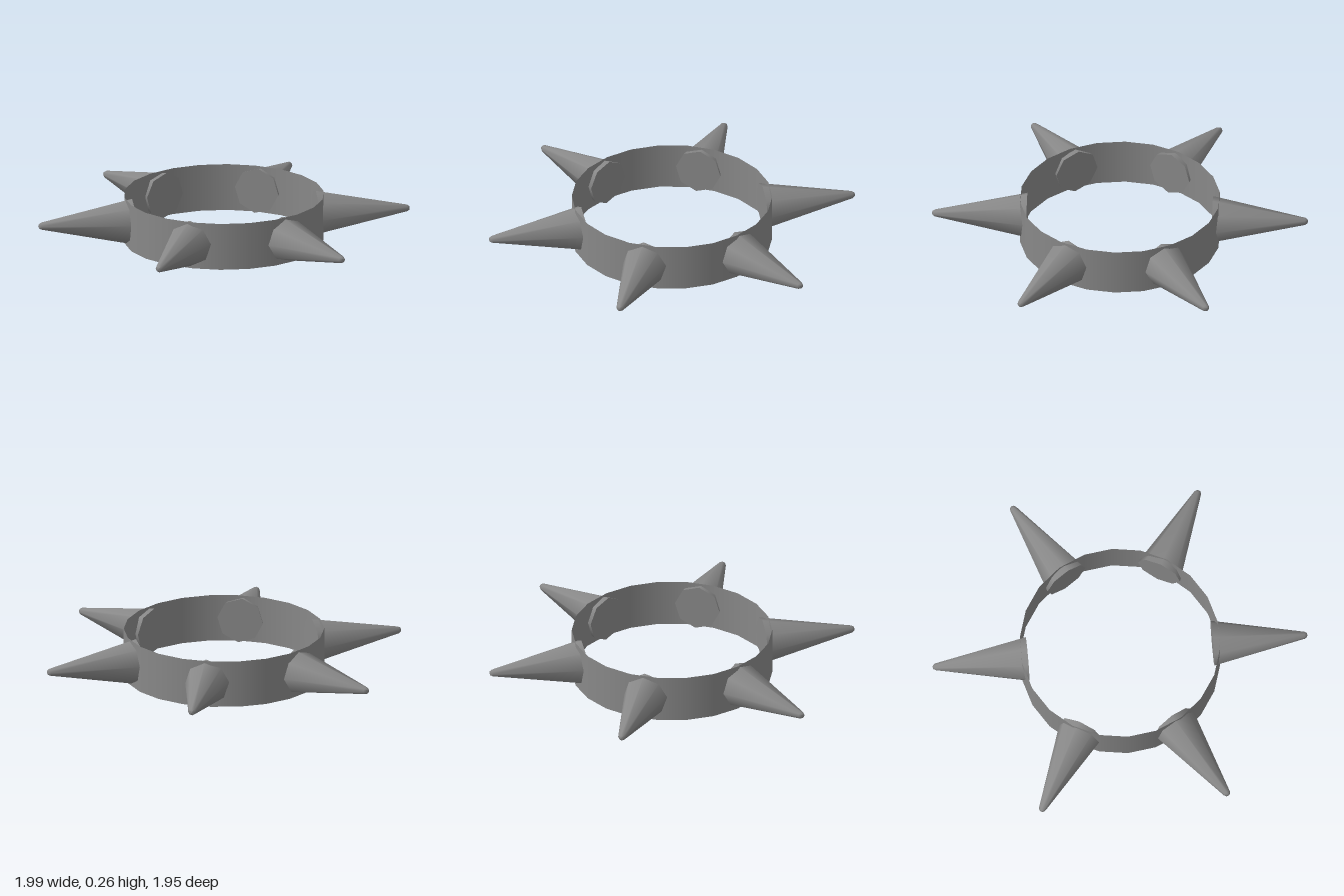
import * as THREE from 'three';
import { toCreasedNormals } from 'three/addons/utils/BufferGeometryUtils.js';

const HEIGHT = 0.26;
const SPIKES = 6;
const FIRST_ANGLE = THREE.MathUtils.degToRad(13);
const GREY = 0x888888;

export function createModel() {
  const group = new THREE.Group();
  group.name = 'spikedBand';

  // Band: a single open sheet, visible from inside and outside
  const band = new THREE.Mesh(
    new THREE.CylinderGeometry(0.543, 0.543, HEIGHT, 22, 1, true, Math.PI / 2),
    new THREE.MeshStandardMaterial({ color: GREY, side: THREE.DoubleSide })
  );
  band.name = 'band';
  band.position.y = HEIGHT / 2;
  group.add(band);

  // Eight-sided spike with a flat base and a blunt tip, lying along +x
  const profile = [[0, 0], [0.126, 0], [0.02, 0.5], [0.012, 0.513], [0, 0.517]];
  const spikeGeometry = toCreasedNormals(
    new THREE.LatheGeometry(profile.map(([r, y]) => new THREE.Vector2(r, y)), 8), 1.0
  );
  spikeGeometry.rotateZ(-Math.PI / 2).rotateX(0.09).translate(0.503, HEIGHT / 2, 0);
  const spikeMaterial = new THREE.MeshStandardMaterial({ color: GREY });

  // Spikes evenly spaced round the band, bases standing proud of its inside
  for (let i = 0; i < SPIKES; i++) {
    const spike = new THREE.Mesh(spikeGeometry, spikeMaterial);
    spike.name = `spike${i + 1}`;
    spike.rotation.y = -(FIRST_ANGLE + (i * Math.PI * 2) / SPIKES);
    group.add(spike);
  }
  return group;
}
